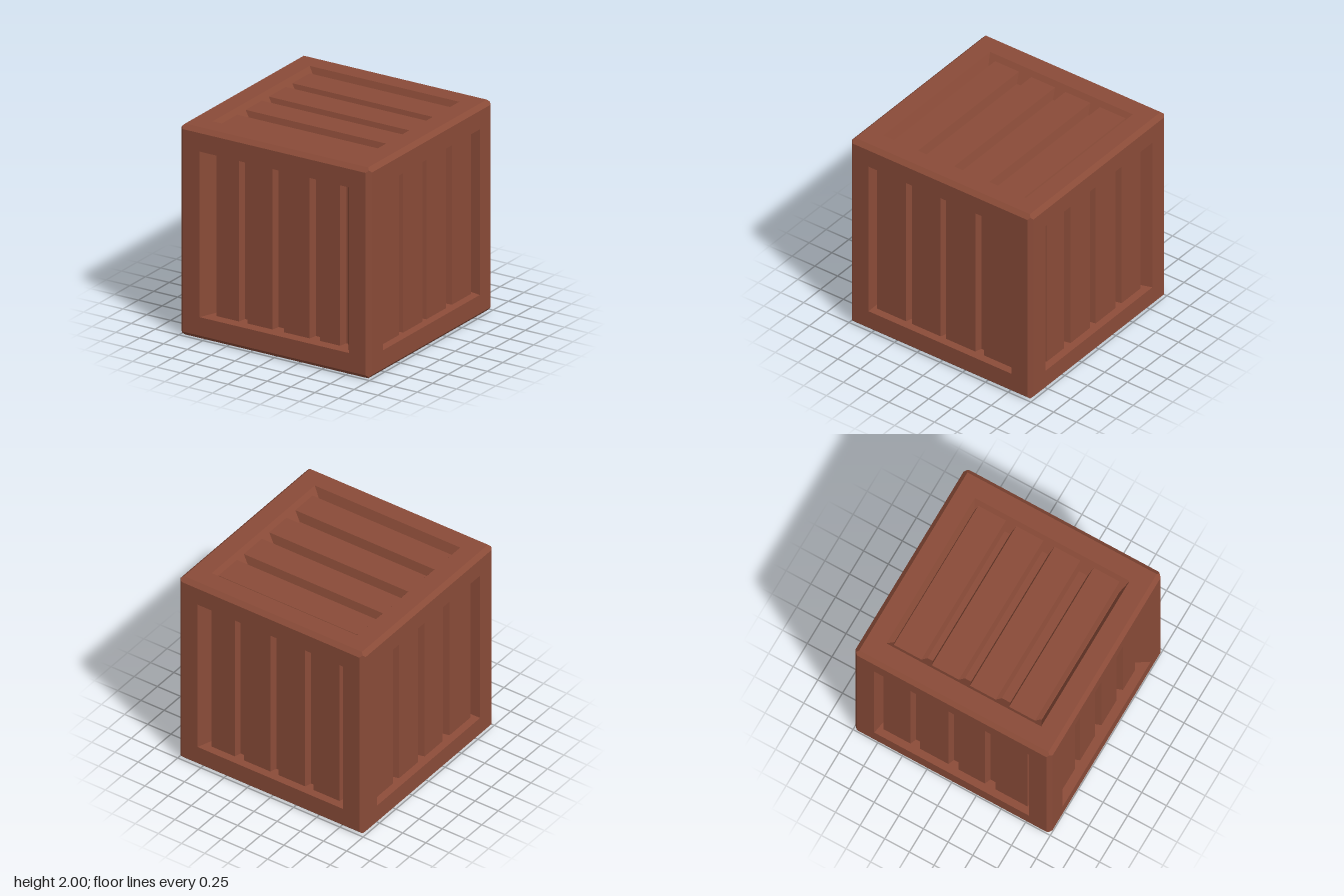
import * as THREE from 'three';

const OPEN = 0.785; // half size of the recess opening

// Stack of four-cornered loops joined by quads, with the last loop capped
function loopStack(loops) {
  const pos = [];
  const tri = (a, b, c) => pos.push(...a, ...b, ...c);
  const quad = (a, b, c, d) => { tri(a, b, c); tri(a, c, d); };
  for (let i = 0; i + 1 < loops.length; i++) {
    const p = loops[i], q = loops[i + 1];
    for (let k = 0; k < 4; k++) {
      const n = (k + 1) % 4;
      quad(p[k], p[n], q[n], q[k]);
    }
  }
  quad(...loops[loops.length - 1]);
  const geo = new THREE.BufferGeometry();
  geo.setAttribute('position', new THREE.Float32BufferAttribute(pos, 3));
  geo.computeVertexNormals();
  return geo;
}

// Counter-clockwise rectangle at height w above the crate centre
const rect = (u0, u1, v, w) => [[u0, -v, w], [u1, -v, w], [u1, v, w], [u0, v, w]];

// Each side: axes (across slats, along slats, outward), recess floor half sizes,
// floor depth, slat depth, and the slat tops across the side
const SIDES = [
  { name: 'front', u: [1, 0, 0], v: [0, 1, 0], w: [0, 0, 1], floor: [0.685, 0.765], depth: 0.14, top: 0.08,
    slats: [[-0.66, -0.42], [-0.33, -0.07], [0.05, 0.32], [0.43, 0.64]] },
  { name: 'back', u: [-1, 0, 0], v: [0, 1, 0], w: [0, 0, -1], floor: [0.72, 0.765], depth: 0.12, top: 0.065,
    slats: [[-0.68, -0.43], [-0.33, -0.045], [0.04, 0.33], [0.42, 0.70]] },
  { name: 'left', u: [0, 0, -1], v: [0, 1, 0], w: [1, 0, 0], floor: [0.77, 0.765], depth: 0.12, top: 0.065,
    slats: [[-0.74, -0.42], [-0.355, -0.04], [0.02, 0.34], [0.435, 0.745]] },
  { name: 'right', u: [0, 0, 1], v: [0, 1, 0], w: [-1, 0, 0], floor: [0.76, 0.765], depth: 0.12, top: 0.065,
    slats: [[-0.73, -0.455], [-0.36, -0.07], [0.03, 0.30], [0.41, 0.73]] },
  { name: 'top', u: [0, 0, 1], v: [1, 0, 0], w: [0, 1, 0], floor: [0.735, 0.685], depth: 0.13, top: 0.045,
    slats: [[-0.73, -0.45], [-0.345, -0.07], [0.043, 0.305], [0.44, 0.703]] },
  { name: 'bottom', u: [0, 0, -1], v: [1, 0, 0], w: [0, -1, 0], floor: [0.74, 0.72], depth: 0.13, top: 0.055,
    slats: [[-0.70, -0.42], [-0.32, -0.04], [0.05, 0.34], [0.44, 0.71]] },
];

function buildSide(side, material) {
  const group = new THREE.Group();
  group.name = side.name + 'Side';
  const [fu, fv] = side.floor;

  // Chamfered frame, sloping recess walls and recess floor
  const frame = new THREE.Mesh(loopStack([
    rect(-0.98, 0.98, 0.98, 0.98),
    rect(-0.96, 0.96, 0.96, 1),
    rect(-OPEN, OPEN, OPEN, 1),
    rect(-fu, fu, fv, 1 - side.depth),
  ]), material);
  frame.name = side.name + 'Frame';
  group.add(frame);

  // Bevelled slats, their ends meeting the recess walls
  const endV = THREE.MathUtils.lerp(OPEN, fv, side.top / side.depth);
  const bevel = 0.025;
  side.slats.forEach(([a, b], i) => {
    const slat = new THREE.Mesh(loopStack([
      rect(a - bevel, b + bevel, fv, 1 - side.depth),
      rect(a, b, endV, 1 - side.top),
    ]), material);
    slat.name = side.name + 'Slat' + (i + 1);
    group.add(slat);
  });

  // Turn the side to face its own direction
  const axes = [side.u, side.v, side.w].map((a) => new THREE.Vector3(...a));
  group.quaternion.setFromRotationMatrix(new THREE.Matrix4().makeBasis(...axes));
  group.position.y = 1;
  return group;
}

export function createModel() {
  const wood = new THREE.MeshStandardMaterial({ color: 0x8a4b38 });
  wood.name = 'reddish brown wood';
  const crate = new THREE.Group();
  crate.name = 'crate';
  for (const side of SIDES) crate.add(buildSide(side, wood));
  return crate;
}
